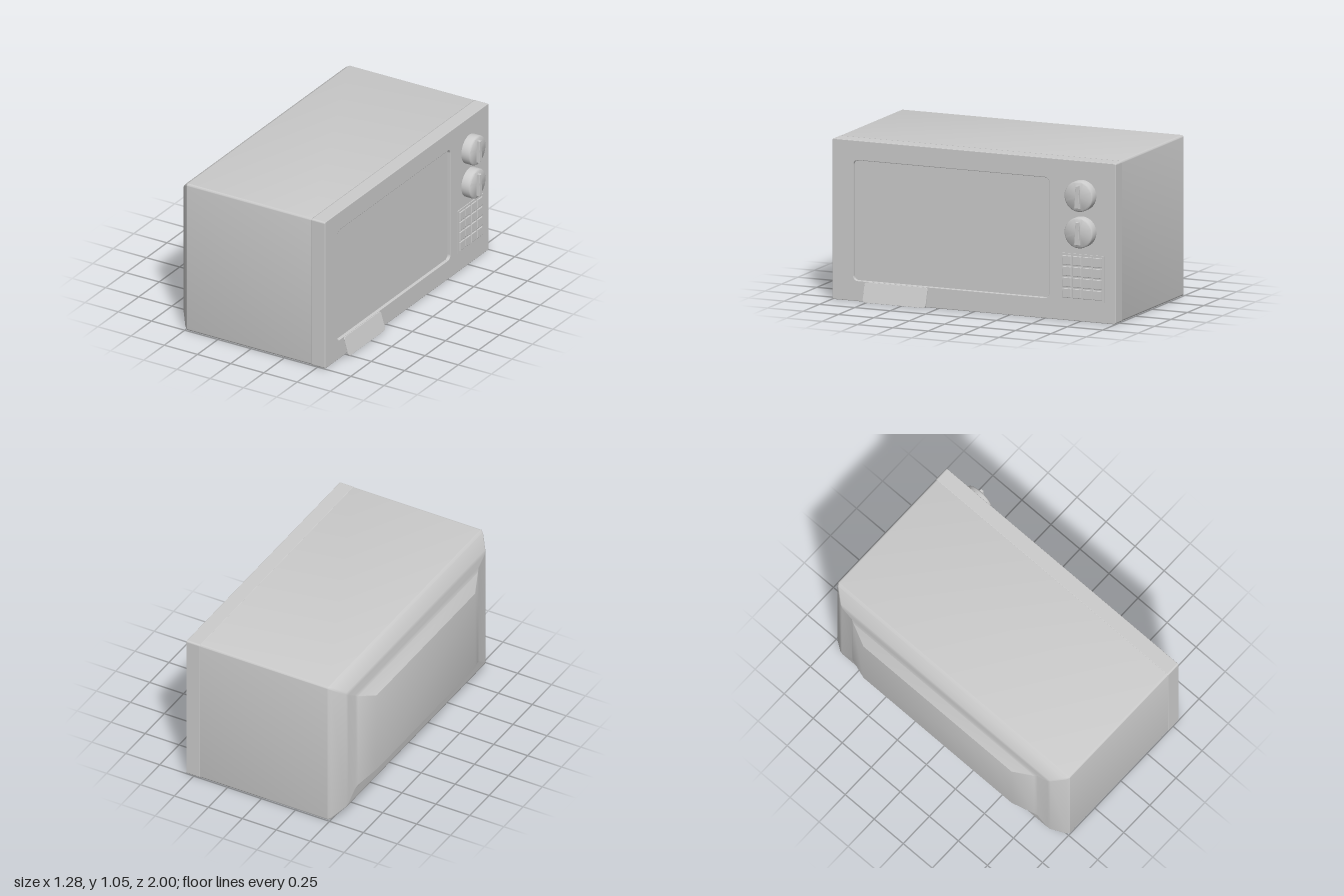
import * as THREE from 'three';
import { toCreasedNormals } from 'three/addons/utils/BufferGeometryUtils.js';

const material = new THREE.MeshStandardMaterial({ color: 0xcccccc });

function addPart(parent, name, geometry, x = 0, y = 0, z = 0) {
  const mesh = new THREE.Mesh(geometry, material);
  mesh.name = name;
  mesh.position.set(x, y, z);
  parent.add(mesh);
  return mesh;
}

// Rounded rectangle outline, anticlockwise
function roundedRect(x0, y0, x1, y1, r, Type = THREE.Shape) {
  const s = new Type();
  s.absarc(x1 - r, y0 + r, r, -Math.PI / 2, 0);
  s.absarc(x1 - r, y1 - r, r, 0, Math.PI / 2);
  s.absarc(x0 + r, y1 - r, r, Math.PI / 2, Math.PI);
  s.absarc(x0 + r, y0 + r, r, Math.PI, Math.PI * 1.5);
  s.closePath();
  return s;
}

// Skin over rounded-rectangle rings [z, halfWidth, y0, y1, radius], back to front
function loft(rings) {
  const K = 4, n = 4 * (K + 1), pos = [], idx = [];
  for (const [z, hw, y0, y1, r] of rings) {
    for (let c = 0; c < 4; c++) {
      const cx = (c < 2 ? 1 : -1) * (hw - r);
      const cy = c === 0 || c === 3 ? y0 + r : y1 - r;
      for (let k = 0; k <= K; k++) {
        const a = (c - 1 + k / K) * Math.PI / 2;
        pos.push(cx + r * Math.cos(a), cy + r * Math.sin(a), z);
      }
    }
  }
  for (let i = 0; i < rings.length - 1; i++) {
    for (let j = 0; j < n; j++) {
      const a = i * n + j, b = i * n + (j + 1) % n;
      idx.push(a, b, b + n, a, b + n, a + n);
    }
  }
  const last = (rings.length - 1) * n;
  for (let j = 1; j < n - 1; j++) idx.push(0, j + 1, j, last, last + j, last + j + 1);
  const g = new THREE.BufferGeometry();
  g.setAttribute('position', new THREE.Float32BufferAttribute(pos, 3));
  g.setIndex(idx);
  return toCreasedNormals(g, 0.5);
}

function bevelled(shape, depth, bevel) {
  const g = new THREE.ExtrudeGeometry(shape, {
    depth: depth - 2 * bevel, bevelThickness: bevel, bevelSize: bevel,
    bevelOffset: -bevel, bevelSegments: 2, curveSegments: 6,
  });
  return g.translate(0, 0, bevel);
}

export function createModel() {
  const model = new THREE.Group();
  model.name = 'microwaveOven';

  // Everything is built facing +z, then turned to face +x
  const oven = new THREE.Group();
  oven.name = 'oven';
  oven.rotation.y = Math.PI / 2;
  model.add(oven);

  // Casing with chamfered back and raised rear housing
  addPart(oven, 'casing', loft([
    [-0.643, 0.64, 0.235, 0.82, 0.005],
    [-0.585, 0.78, 0.175, 0.88, 0.005],
    [-0.575, 0.80, 0.155, 0.9, 0.005],
    [-0.575, 0.885, 0.095, 0.955, 0.012],
    [-0.568, 0.905, 0.075, 0.975, 0.014],
    [-0.505, 0.985, 0.01, 1.04, 0.014],
    [-0.485, 0.998, 0, 1.05, 0.014],
    [0.453, 0.998, 0, 1.05, 0.014],
  ]));

  // Front frame with window opening
  const frame = roundedRect(-1, 0, 1, 1.05, 0.012);
  frame.holes.push(roundedRect(-0.85, 0.135, 0.53, 0.92, 0.03, THREE.Path));
  addPart(oven, 'frontFrame', bevelled(frame, 0.102, 0.004), 0, 0, 0.453);
  addPart(oven, 'doorWindow', new THREE.BoxGeometry(1.4, 0.8, 0.075), -0.16, 0.5275, 0.4975);

  // Two dials, each with a tapered pointer grip
  const profile = [[0.1, 0], [0.1, 0.055], [0.097, 0.061], [0.092, 0.064], [0, 0.064]]
    .map(([r, h]) => new THREE.Vector2(r, h));
  const dialGeometry = toCreasedNormals(new THREE.LatheGeometry(profile, 40).rotateX(Math.PI / 2), 0.6);
  const grip = new THREE.Shape([[-0.019, -0.075], [0.019, -0.075], [0.01, 0.073], [-0.01, 0.073]]
    .map(([x, y]) => new THREE.Vector2(x, y)));
  const gripGeometry = bevelled(grip, 0.024, 0.002);
  [['upperDial', 0.826], ['lowerDial', 0.588]].forEach(([name, y]) => {
    const dial = new THREE.Group();
    dial.name = name;
    dial.position.set(0.765, y, 0.554);
    addPart(dial, 'knob', dialGeometry);
    addPart(dial, 'pointerGrip', gripGeometry, 0, 0, 0.061);
    oven.add(dial);
  });

  // Keypad: thin plate with a 4 by 4 block of buttons
  const keypad = new THREE.Group();
  keypad.name = 'keypad';
  keypad.position.set(0.768, 0.287, 0.553);
  addPart(keypad, 'keypadPlate', new THREE.BoxGeometry(0.305, 0.305, 0.008), 0, 0, 0.004);
  const button = bevelled(roundedRect(-0.031, -0.031, 0.031, 0.031, 0.003), 0.01, 0.004);
  for (let row = 0; row < 4; row++) {
    for (let col = 0; col < 4; col++) {
      addPart(keypad, 'button', button, (col - 1.5) * 0.0715, (row - 1.5) * 0.0715, 0.004);
    }
  }
  oven.add(keypad);

  // Door pull: a tab flaring out under the window, thicker at the bottom
  const tab = bevelled(roundedRect(-0.2225, 0.003, 0.2225, 0.13, 0.018), 0.014, 0.002);
  const p = tab.attributes.position;
  for (let i = 0; i < p.count; i++) {
    const t = 1 - p.getY(i) / 0.13;
    p.setZ(i, 0.552 + 0.031 * t + p.getZ(i) * (0.5 + 0.5 * t));
  }
  tab.computeVertexNormals();
  addPart(oven, 'doorPull', tab, -0.5475, 0, 0);

  return model;
}
